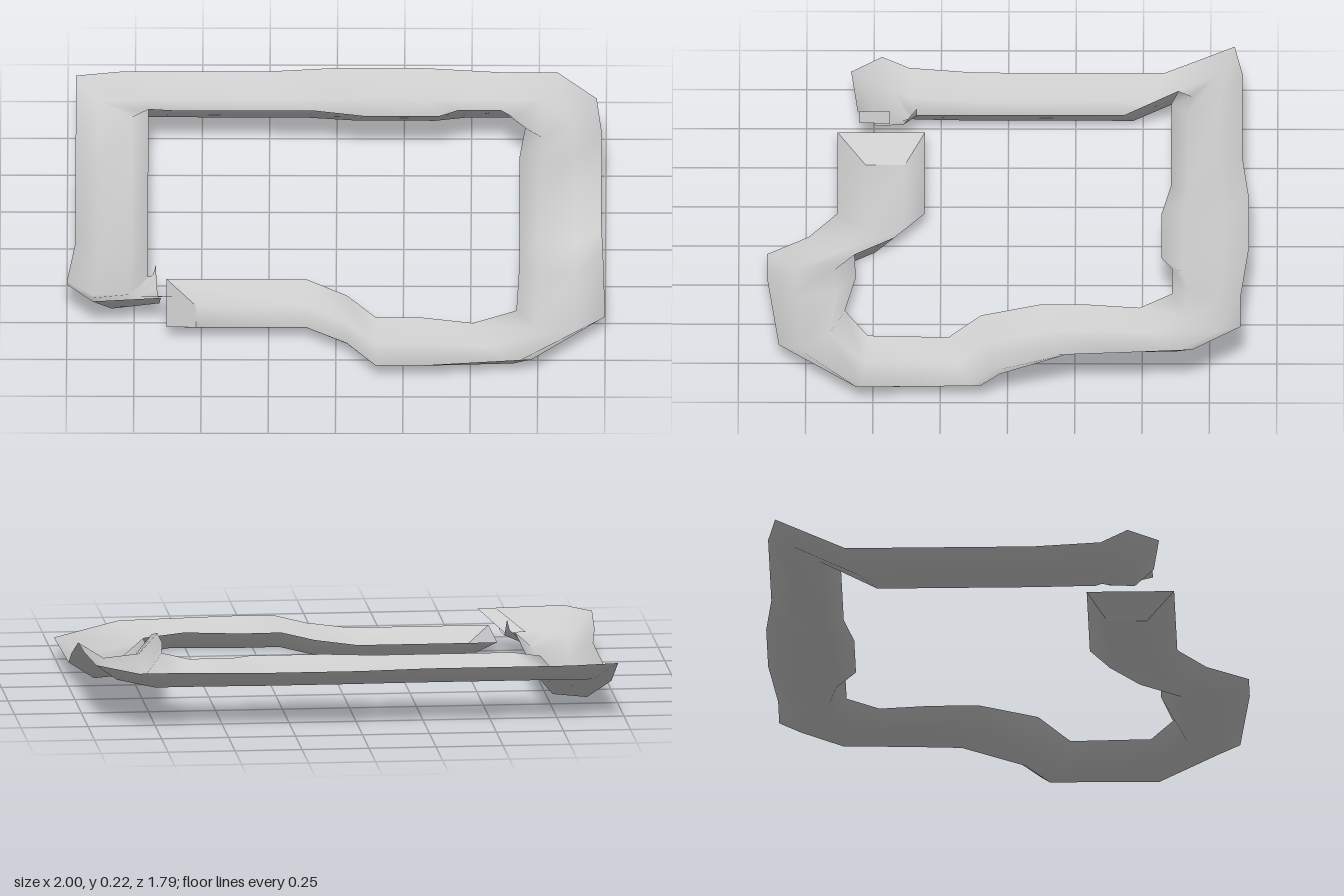
import * as THREE from 'three';

const DEPTH = 0.07;
// Stations along the channel: outer rim x, z, y, then inner rim x, z, y
const STATIONS = [
  [-0.63, 0.635, 0.07, -0.63, 0.31, 0.07],
  [-0.11, 0.635, 0.07, -0.11, 0.31, 0.07],
  [0.04, 0.74, 0.07, 0.04, 0.42, 0.07],
  [0.15, 0.895, 0.07, 0.15, 0.57, 0.07],
  [0.30, 0.895, 0.07, 0.30, 0.565, 0.07],
  [0.73, 0.85, 0.07, 0.51, 0.605, 0.07],
  [1.0, 0.56, 0.07, 0.67, 0.52, 0.07],
  [0.99, 0.10, 0.07, 0.68, 0.22, 0.07],
  [0.985, 0.03, 0.12, 0.68, 0.10, 0.17],
  [0.985, -0.22, 0.21, 0.68, -0.12, 0.22],
  [0.985, -0.45, 0.22, 0.68, -0.30, 0.22],
  [0.965, -0.69, 0.22, 0.70, -0.49, 0.22],
  [0.82, -0.865, 0.22, 0.61, -0.61, 0.22],
  [0.63, -0.865, 0.22, 0.45, -0.61, 0.22],
  [0.32, -0.895, 0.22, 0.38, -0.57, 0.22],
  [0.0, -0.895, 0.22, 0.10, -0.57, 0.22],
  [-0.26, -0.87, 0.22, -0.08, -0.605, 0.22],
  [-0.79, -0.87, 0.22, -0.60, -0.605, 0.22],
  [-0.97, -0.84, 0.22, -0.70, -0.63, 0.21],
  [-0.97, -0.58, 0.10, -0.70, -0.43, 0.10],
  [-0.97, 0.12, 0.10, -0.70, 0.12, 0.10],
  [-1.0, 0.37, 0.10, -0.70, 0.34, 0.10],
  [-1.0, 0.47, 0.15, -0.69, 0.34, 0.10],
  [-0.905, 0.585, 0.15, -0.68, 0.34, 0.11],
  [-0.65, 0.56, 0.15, -0.67, 0.34, 0.15],
];

// Cross-section: outer rim, two floor corners, inner rim
function section([xo, zo, yo, xi, zi, yi], floorShift = 0) {
  const outer = new THREE.Vector3(xo, yo, zo);
  const inner = new THREE.Vector3(xi, yi, zi);
  const floor = [0.32, 0.77].map((t) => {
    const p = outer.clone().lerp(inner, t);
    p.y = Math.max(0, p.y - DEPTH);
    p.x += floorShift;
    return p;
  });
  return [outer, ...floor, inner];
}

function surface(name, points, index) {
  const geometry = new THREE.BufferGeometry().setFromPoints(points);
  geometry.setIndex(index);
  geometry.computeVertexNormals();
  const material = new THREE.MeshStandardMaterial({ color: 0xcccccc, side: THREE.DoubleSide });
  const mesh = new THREE.Mesh(geometry, material);
  mesh.name = name;
  return mesh;
}

export function createModel() {
  const group = new THREE.Group();
  group.name = 'channelRing';

  // Open channel swept through all stations
  const rings = STATIONS.map((s, i) => section(s, i === 0 ? 0.11 : 0));
  const index = [];
  for (let i = 0; i < rings.length - 1; i++) {
    for (let j = 0; j < 3; j++) {
      const a = i * 4 + j, b = a + 4;
      index.push(a, b, a + 1, b, b + 1, a + 1);
    }
  }
  group.add(surface('channel', rings.flat(), index));

  // Sloped wall closing the front end
  group.add(surface('frontEndWall', rings[0], [0, 1, 2, 0, 2, 3]));

  // Small tilted flap at the left end
  const flap = [[-0.75, 0.08, 0.44], [-0.67, 0.08, 0.44], [-0.58, 0.15, 0.555], [-0.65, 0.15, 0.555]];
  group.add(surface('endFlap', flap.map((p) => new THREE.Vector3(...p)), [0, 2, 1, 0, 3, 2]));

  return group;
}
